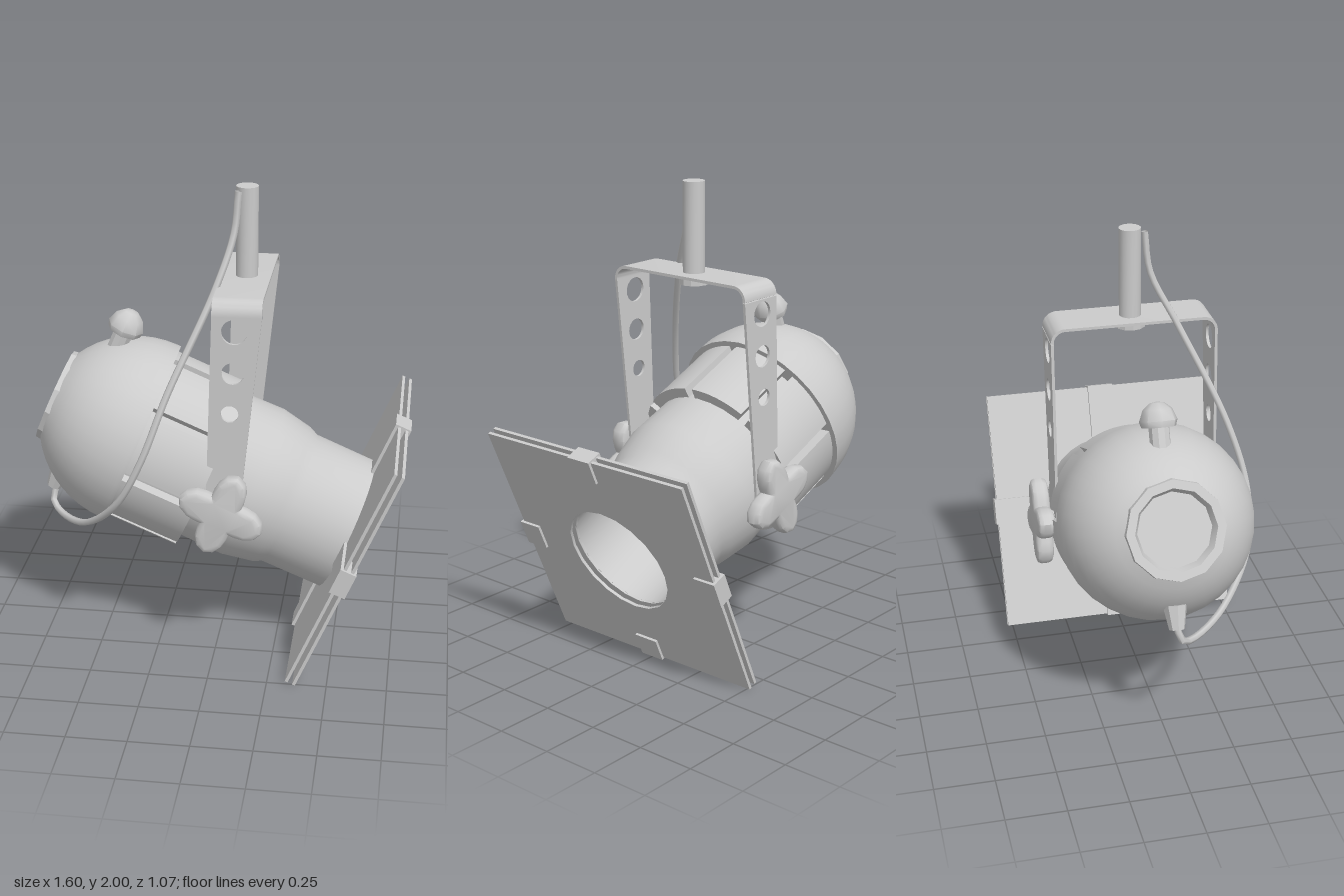
import * as THREE from 'three';
import { toCreasedNormals } from 'three/addons/utils/BufferGeometryUtils.js';

const grey = new THREE.MeshStandardMaterial({ color: 0xcccccc, side: THREE.DoubleSide });

function add(parent, name, geometry, x = 0, y = 0, z = 0, crease = 0.5) {
  const mesh = new THREE.Mesh(toCreasedNormals(geometry, crease), grey);
  mesh.name = name;
  mesh.position.set(x, y, z);
  parent.add(mesh);
  return mesh;
}
const box = (w, h, d) => new THREE.BoxGeometry(w, h, d);
const lathe = (pts, sides) => new THREE.LatheGeometry(pts.map(p => new THREE.Vector2(...p)), sides);
// Profile of [radius, distance along the lamp axis], turned to lie along x
const axial = (pts, sides) => lathe(pts, sides).rotateZ(-Math.PI / 2);
const extrude = (shape, depth, opts = {}) =>
  new THREE.ExtrudeGeometry(shape, { depth, bevelEnabled: false, curveSegments: 10, ...opts });

// Lamp in its own frame: x runs forward along the axis, origin at the filter frame
function createLamp() {
  const lamp = new THREE.Group();
  lamp.name = 'lamp';

  // Stepped barrel with a recessed lens
  add(lamp, 'barrel', axial([[0.335, -0.99], [0.335, -0.66], [0.34, -0.47], [0.315, -0.335],
    [0.297, -0.295], [0.295, -0.02], [0.252, -0.02], [0.252, -0.31], [0, -0.31]], 32));

  // Rear dome with a front lip
  const dome = [];
  for (let i = 0; i <= 9; i++) {
    const t = 0.5 + (Math.PI / 2 - 0.5) * i / 9;
    dome.push([0.405 * Math.sin(t), -1 - 0.43 * Math.cos(t)]);
  }
  dome.push([0.405, -0.985], [0.33, -0.985]);
  add(lamp, 'rearDome', axial(dome, 32));
  add(lamp, 'rearCap', axial([[0, -1.36], [0.15, -1.36], [0.165, -1.395], [0.2, -1.395], [0.207, -1.34]], 12));

  // Eight housing panels separated by narrow slots
  const half = THREE.MathUtils.degToRad(19.5);
  const sector = new THREE.Shape();
  sector.absarc(0, 0, 0.38, Math.PI / 2 - half, Math.PI / 2 + half, false);
  sector.absarc(0, 0, 0.325, Math.PI / 2 + half, Math.PI / 2 - half, true);
  const panel = extrude(sector, 0.325, { curveSegments: 6 }).rotateY(Math.PI / 2);
  for (let i = 0; i < 8; i++) {
    add(lamp, 'housingPanel', panel, -0.99).rotation.x = THREE.MathUtils.degToRad(28.2 + 45 * i);
  }

  // Top adjuster and lower cable gland
  add(lamp, 'adjusterStem', new THREE.CylinderGeometry(0.042, 0.042, 0.12, 10), -1.23, 0.36);
  add(lamp, 'adjusterCap', lathe([[0, 0], [0.07, 0], [0.078, 0.025], [0.06, 0.07], [0.03, 0.095], [0, 0.1]], 8),
    -1.23, 0.395, 0, 0.9);
  add(lamp, 'cableGland', new THREE.CylinderGeometry(0.05, 0.032, 0.1, 8), -1.245, -0.36);

  // Filter frame: two thin sheets with a round opening
  const sheet = new THREE.Shape();
  sheet.moveTo(-0.525, -0.53).lineTo(0.525, -0.53).lineTo(0.525, 0.53).lineTo(-0.525, 0.53).closePath();
  sheet.holes.push(new THREE.Path().absarc(0, 0, 0.253, 0, Math.PI * 2, true));
  const plate = extrude(sheet, 0.013).rotateY(Math.PI / 2);
  for (const s of [-0.026, 0.007]) add(lamp, 'filterSheet', plate, s);

  // Four clips on arms reaching out from the barrel
  for (let i = 0; i < 4; i++) {
    const clip = new THREE.Group();
    clip.name = 'filterClip';
    clip.rotation.x = i * Math.PI / 2;
    add(clip, 'clipBlock', box(0.07, 0.107, 0.115), -0.004, 0.483);
    add(clip, 'clipArm', box(0.014, 0.17, 0.115), -0.032, 0.36);
    lamp.add(clip);
  }

  // Four-armed clamp knobs on both sides
  const star = [];
  for (let i = 0; i < 40; i++) {
    const a = i * Math.PI / 20, r = 0.113 + 0.047 * Math.cos(4 * a);
    star.push(new THREE.Vector2(r * Math.cos(a), r * Math.sin(a)));
  }
  const knob = extrude(new THREE.Shape(star), 0.03,
    { bevelEnabled: true, bevelSize: 0.022, bevelThickness: 0.022, bevelSegments: 2 });
  for (const side of [0, Math.PI]) {
    const clamp = new THREE.Group();
    clamp.name = 'clampKnob';
    clamp.position.x = -0.56;
    clamp.rotation.x = side;
    add(clamp, 'knobStar', knob, 0, 0, 0.388, 0.8);
    add(clamp, 'knobBolt', new THREE.CylinderGeometry(0.045, 0.045, 0.07, 12).rotateX(Math.PI / 2), 0, 0, 0.35);
    lamp.add(clamp);
  }

  lamp.position.set(0.56, 0.51, 0);
  lamp.rotation.z = -0.402;
  return lamp;
}

// Fixed hanging yoke with perforated, tapering arms
function createYoke() {
  const yoke = new THREE.Group();
  yoke.name = 'yoke';

  const arm = new THREE.Shape();
  arm.moveTo(0.2, 1.56).lineTo(0, 1.56).lineTo(-0.025, 0.74);
  arm.absarc(0.045, 0.73, 0.07, Math.PI, Math.PI * 2, false);
  arm.lineTo(0.2, 1.56);
  for (const [x, y, r] of [[0.09, 1.5, 0.052], [0.085, 1.325, 0.046], [0.073, 1.15, 0.036]]) {
    arm.holes.push(new THREE.Path().absarc(x, y, r, 0, Math.PI * 2, true));
  }
  for (const z of [0.338, -0.35]) add(yoke, 'yokeArm', extrude(arm, 0.012), 0, 0, z);

  // Top strap with rounded corners
  const strap = new THREE.Shape();
  strap.moveTo(0.35, 1.56);
  strap.absarc(0.29, 1.565, 0.06, 0, Math.PI / 2, false);
  strap.absarc(-0.29, 1.565, 0.06, Math.PI / 2, Math.PI, false);
  strap.lineTo(-0.35, 1.56).lineTo(-0.338, 1.56);
  strap.absarc(-0.29, 1.565, 0.048, Math.PI, Math.PI / 2, true);
  strap.absarc(0.29, 1.565, 0.048, Math.PI / 2, 0, true);
  strap.lineTo(0.338, 1.56);
  add(yoke, 'yokeStrap', extrude(strap, 0.2, { curveSegments: 5 }).rotateY(Math.PI / 2));

  // Hanging pole and its nut
  add(yoke, 'pole', new THREE.CylinderGeometry(0.046, 0.046, 0.38, 16), 0.1, 1.81);
  add(yoke, 'poleNut', new THREE.CylinderGeometry(0.065, 0.065, 0.04, 12), 0.1, 1.598);
  return yoke;
}

export function createModel() {
  const model = new THREE.Group();
  model.name = 'stageSpotlight';
  model.add(createLamp(), createYoke());

  // Power cable from the gland, round the side and up the pole
  const path = new THREE.CatmullRomCurve3([
    [-0.725, 0.64, 0], [-0.745, 0.565, 0.02], [-0.7, 0.535, 0.08], [-0.56, 0.57, 0.24], [-0.39, 0.74, 0.39],
    [-0.28, 0.95, 0.415], [-0.18, 1.22, 0.35], [-0.01, 1.61, 0.175], [0.055, 1.82, 0.075], [0.07, 1.99, 0.055],
  ].map(p => new THREE.Vector3(...p)), false, 'centripetal');
  add(model, 'cable', new THREE.TubeGeometry(path, 48, 0.015, 6), 0, 0, 0, 1.2);
  return model;
}
